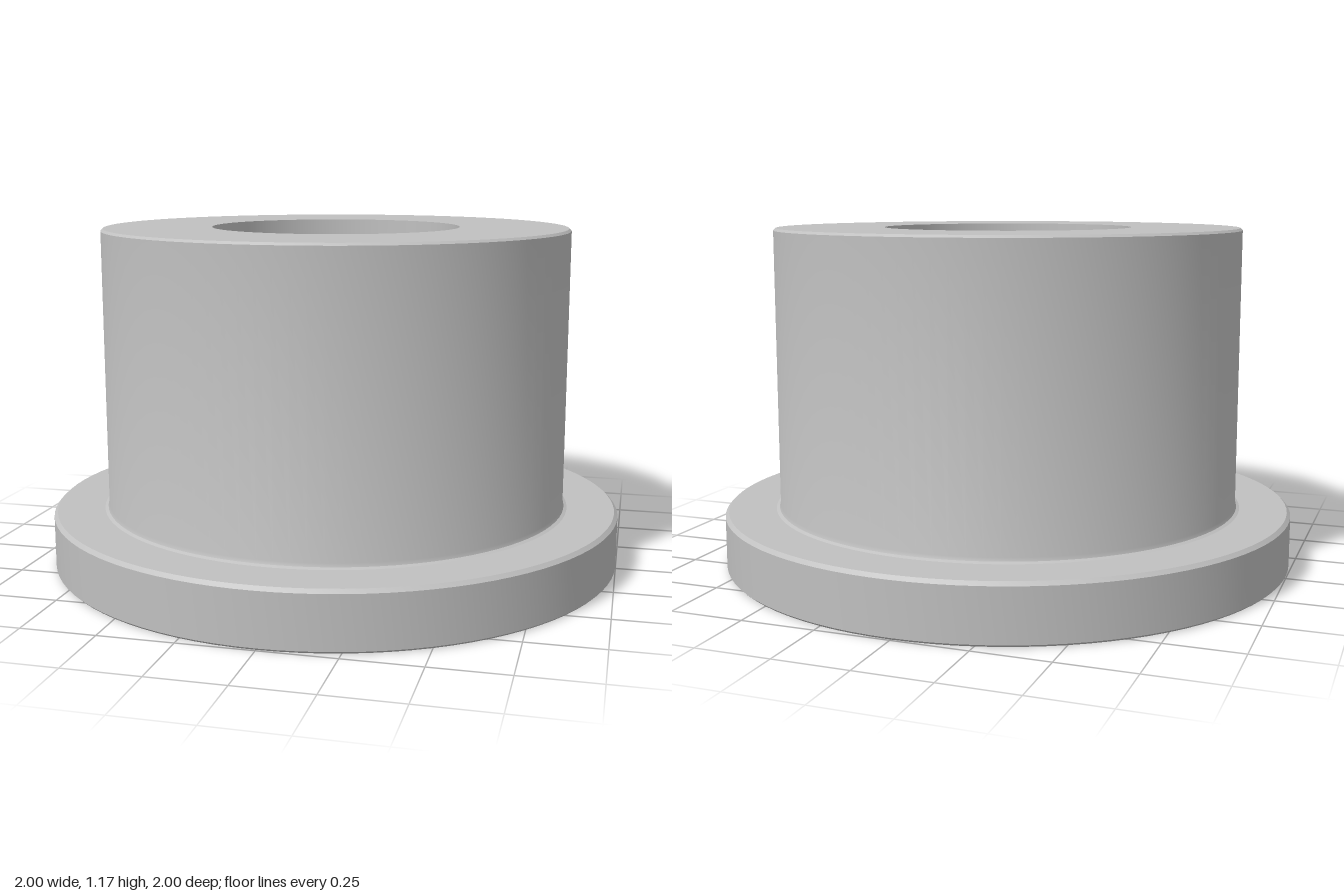
import * as THREE from 'three';
import { toCreasedNormals } from 'three/addons/utils/BufferGeometryUtils.js';

const SEGMENTS = 96;
const BORE = 0.43, BARREL = 0.81, FLANGE = 1;
const FLANGE_TOP = 0.195, HEIGHT = 1.17;

const metal = new THREE.MeshStandardMaterial({ color: 0xc0c0c0 });
metal.name = 'grey metal';

// Spins a [radius, y] profile around the vertical axis, keeping its corners sharp
function turned(name, profile) {
  const points = profile.map(([r, y]) => new THREE.Vector2(r, y));
  const geometry = toCreasedNormals(new THREE.LatheGeometry(points, SEGMENTS), 0.5);
  const mesh = new THREE.Mesh(geometry, metal);
  mesh.name = name;
  return mesh;
}

export function createModel() {
  const group = new THREE.Group();
  group.name = 'flangedBushing';

  // Underside, rim with slightly broken edges, and upper face
  group.add(turned('flange', [
    [BORE, 0], [FLANGE - 0.007, 0], [FLANGE, 0.007],
    [FLANGE, FLANGE_TOP - 0.012], [FLANGE - 0.012, FLANGE_TOP], [BARREL + 0.015, FLANGE_TOP],
  ]));

  // Small fillet at the root, cylindrical wall and top ring
  group.add(turned('barrel', [
    [BARREL + 0.015, FLANGE_TOP], [BARREL + 0.004, FLANGE_TOP + 0.005], [BARREL, FLANGE_TOP + 0.017],
    [BARREL, HEIGHT - 0.008], [BARREL - 0.008, HEIGHT], [BORE, HEIGHT],
  ]));

  // Through hole, facing inward
  group.add(turned('bore', [[BORE, HEIGHT], [BORE, 0]]));

  return group;
}
